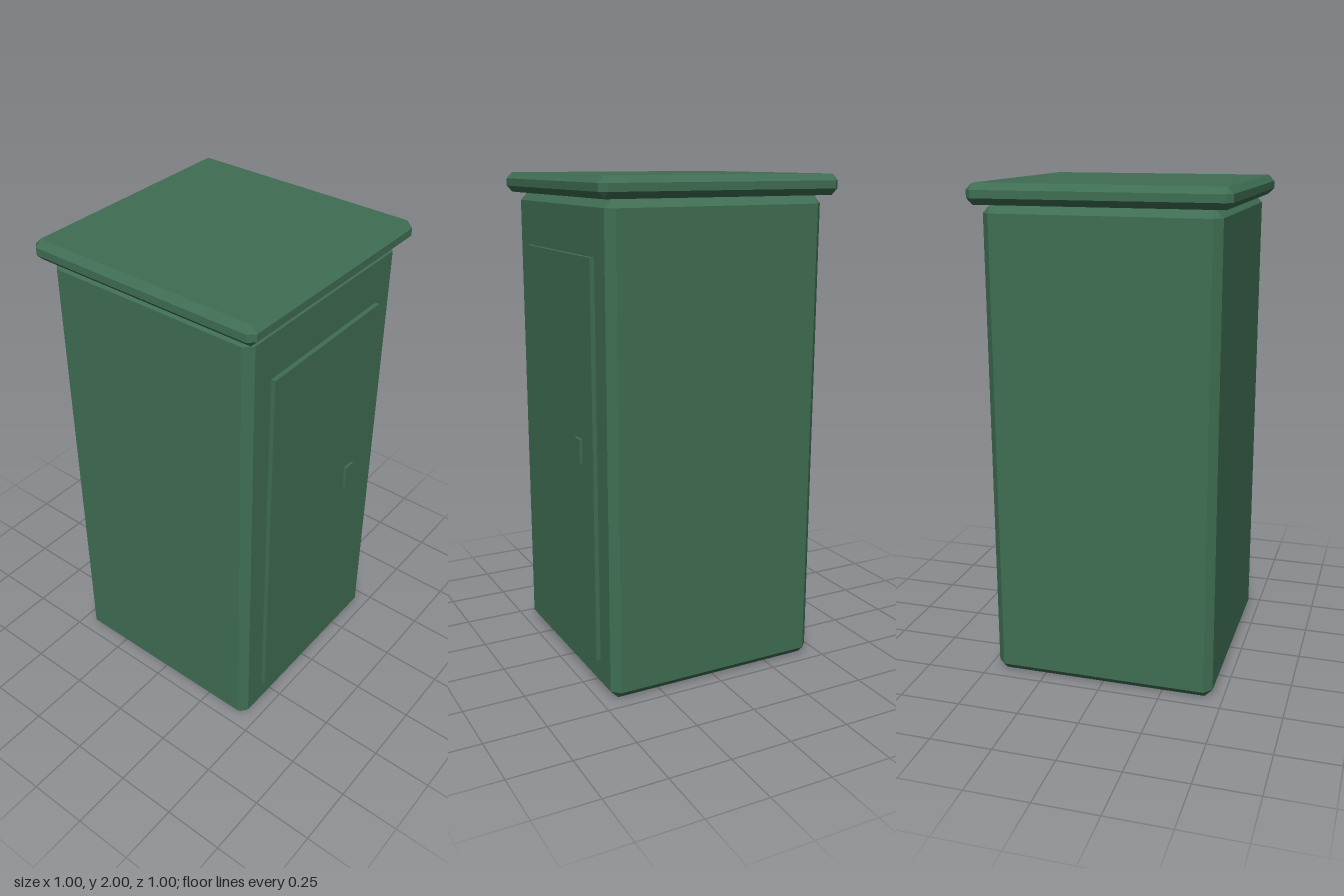
import * as THREE from 'three';
import { ConvexGeometry } from 'three/addons/geometries/ConvexGeometry.js';

// Box with flat bevels on every edge and triangular corners
function bevelledBox(w, h, d, bevel) {
  const points = [];
  for (const sx of [-1, 1]) for (const sy of [-1, 1]) for (const sz of [-1, 1]) {
    const x = w / 2, y = h / 2, z = d / 2, b = bevel;
    points.push(
      new THREE.Vector3(sx * x, sy * (y - b), sz * (z - b)),
      new THREE.Vector3(sx * (x - b), sy * y, sz * (z - b)),
      new THREE.Vector3(sx * (x - b), sy * (y - b), sz * z)
    );
  }
  return new ConvexGeometry(points);
}

export function createModel() {
  const group = new THREE.Group();
  group.name = 'cabinet';
  const green = new THREE.MeshStandardMaterial({ color: 0x3f6e53 });
  green.name = 'green paint';

  const add = (name, geometry, x, y, z) => {
    const mesh = new THREE.Mesh(geometry, green);
    mesh.name = name;
    mesh.position.set(x, y, z);
    group.add(mesh);
  };

  // Main housing and overhanging lid
  add('body', bevelledBox(0.914, 1.92, 0.914, 0.032), 0, 0.96, 0);
  add('roof', bevelledBox(1, 0.08, 1, 0.025), 0, 1.96, 0);

  // Raised door panel and its handle on the front
  add('door', new THREE.BoxGeometry(0.664, 1.584, 0.03), 0, 0.918, 0.46);
  add('handle', new THREE.BoxGeometry(0.05, 0.1, 0.03), 0.205, 0.96, 0.471);

  return group;
}
